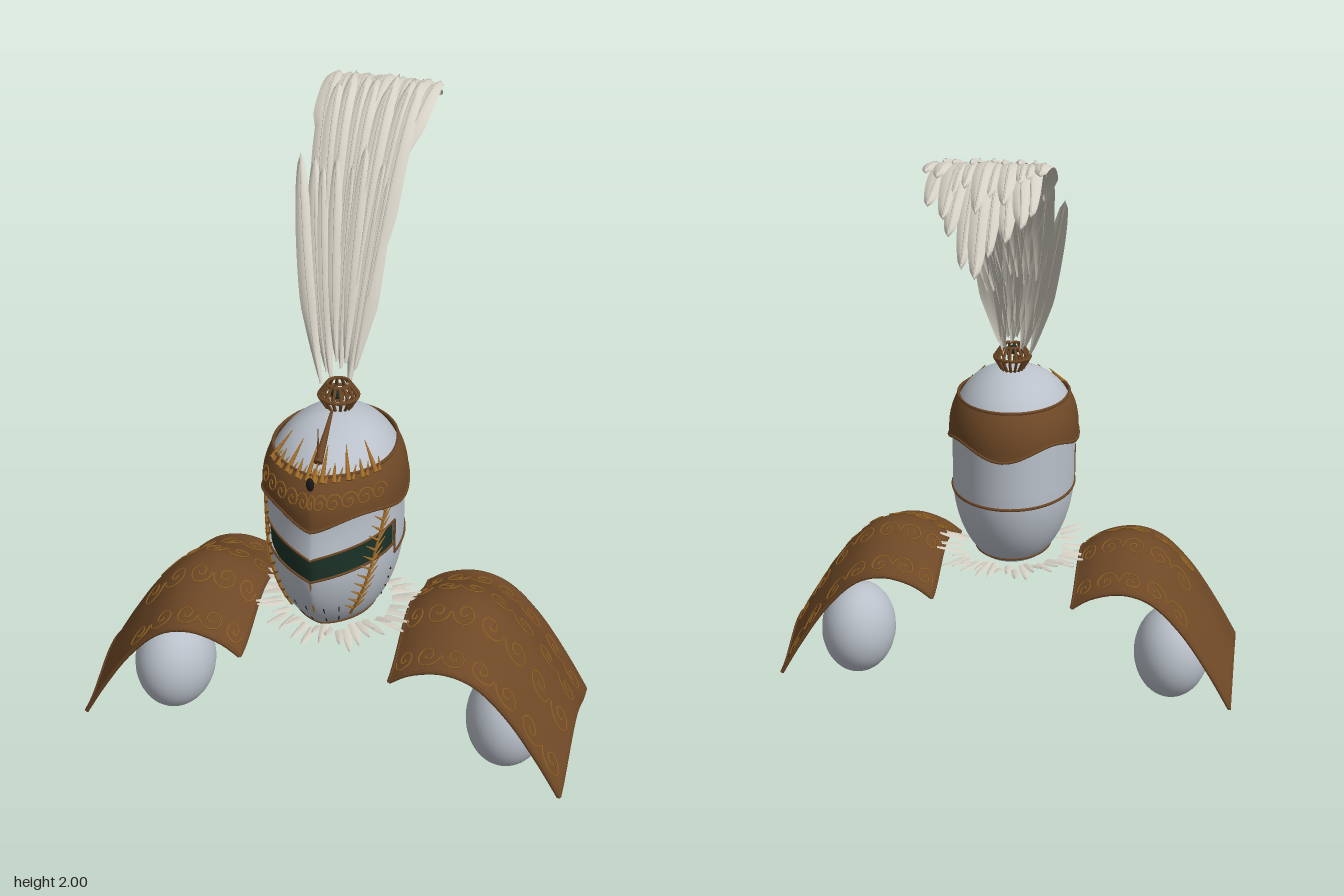
import * as THREE from 'three';
import { mergeGeometries, mergeVertices } from 'three/addons/utils/BufferGeometryUtils.js';

const V = (x, y, z) => new THREE.Vector3(x, y, z);
const { lerp } = THREE.MathUtils;
const colour = (name, color) => {
  const m = new THREE.MeshStandardMaterial({ color, side: THREE.DoubleSide });
  m.name = name;
  return m;
};

// Grid surface from a rule p(u, v), u and v in 0..1
function sheet(p, nu, nv) {
  const pos = [], idx = [];
  for (let j = 0; j <= nv; j++) for (let i = 0; i <= nu; i++) pos.push(...p(i / nu, j / nv).toArray());
  for (let j = 0; j < nv; j++) for (let i = 0; i < nu; i++) {
    const a = j * (nu + 1) + i, c = a + nu + 1;
    idx.push(a, a + 1, c + 1, a, c + 1, c);
  }
  let g = new THREE.BufferGeometry();
  g.setAttribute('position', new THREE.Float32BufferAttribute(pos, 3));
  g.setIndex(idx);
  g = mergeVertices(g, 1e-5);
  g.computeVertexNormals();
  return g;
}

function tube(pts, r, closed = false, sides = 5) {
  return new THREE.TubeGeometry(new THREE.CatmullRomCurve3(pts, closed), pts.length * 2, r, sides, closed);
}

// Tapered bar from a to b
function bar(a, b, r0, r1 = r0) {
  const d = b.clone().sub(a);
  const g = new THREE.CylinderGeometry(r1, r0, d.length(), 6);
  g.applyQuaternion(new THREE.Quaternion().setFromUnitVectors(V(0, 1, 0), d.normalize()));
  const m = a.clone().add(b).multiplyScalar(0.5);
  return g.translate(m.x, m.y, m.z);
}

// Helmet skin: angle from the front (towards +x), height, outward offset
const TAU = Math.PI * 2, SIDE = 1.34;
function helm(th, y, off = 0) {
  let s = 1;
  if (y > 0.98) s = Math.sqrt(Math.max(0, 1 - ((y - 0.98) / 0.21) ** 2));
  if (y < 0.8) s = Math.sqrt(1 - ((0.8 - y) / 0.32) ** 2);
  const c = Math.cos(th), sn = Math.sin(th), front = Math.max(0, c);
  const x = (0.203 * s + off) * Math.sign(sn) * Math.abs(sn) ** (1 + 0.35 * front);
  const reach = c > 0 ? lerp(0.278, 0.26, THREE.MathUtils.smoothstep(y, 0.8, 0.95)) * (y > 0.98 ? s ** 1.5 : s) : 0.255 * s;
  return V(x, y, 0.36 + c * (reach + off));
}
const patch = (t0, t1, lo, hi, off, nu, nv) =>
  sheet((u, v) => { const t = lerp(t0, t1, u); return helm(t, lerp(lo(t), hi(t), Math.sin(v * Math.PI / 2)), off); }, nu, nv);
const ringPoints = (t0, t1, y, off, n) => Array.from({ length: n + 1 }, (_, i) => {
  const t = lerp(t0, t1, i / n);
  return helm(t, y(t), off);
});

// Shoulder plate skin for x > 0
const archX = new THREE.SplineCurve([[0.235, 0.535], [0.3, 0.578], [0.4, 0.6], [0.5, 0.568], [0.6, 0.468], [0.69, 0.335], [0.765, 0.205]]
  .map(p => new THREE.Vector2(...p)));
function plate(u, v, off = 0) {
  const p = archX.getPoint(THREE.MathUtils.clamp(u, 0, 1));
  const w = Math.abs(2 * v - 1);
  return V(p.x, p.y - 0.045 * (1 - Math.cos(Math.PI * w)) + off, lerp(0.095, 0.622, v));
}

function spiral(place, size, flip) {
  const pts = [];
  for (let i = 0; i <= 16; i++) {
    const a = i / 16 * 9.5, r = size * (1 - i / 18);
    pts.push(place(Math.cos(a) * r * flip, Math.sin(a) * r));
  }
  return tube(pts, 0.0025, false, 3);
}

export function createModel() {
  const root = new THREE.Group();
  root.name = 'plumedHelmet';
  const steel = colour('steel', 0xb9c0c9), bronze = colour('bronze', 0x6e4826), gold = colour('gold', 0xa06c28);
  const dark = colour('visorGreen', 0x1b3127), feather = colour('feather', 0xd5d0c4), black = colour('black', 0x1c1a18);
  const add = (name, geo, mat, parent = root) => {
    const m = new THREE.Mesh(Array.isArray(geo) ? mergeGeometries(geo) : geo, mat);
    m.name = name;
    parent.add(m);
    return m;
  };
  let seed = 11;
  const rnd = () => (seed = (seed * 16807) % 2147483647) / 2147483647;

  // Helmet shell with a sight opening across the front
  const sweep = t => Math.min(1, Math.abs(Math.sin(t)));
  const low = t => 0.768 + 0.04 * sweep(t), high = t => 0.842 + 0.045 * sweep(t);
  const seam = () => 0.77, top = () => 1.19, base = () => 0.53;
  add('lowerVisor', patch(-SIDE, SIDE, base, low, 0, 48, 14), steel);
  add('upperShellFront', patch(-SIDE, SIDE, high, top, 0, 48, 26), steel);
  add('upperShellBack', patch(SIDE, TAU - SIDE, seam, top, 0, 48, 30), steel);
  add('lowerShellBack', patch(SIDE, TAU - SIDE, base, seam, 0, 48, 14), steel);
  add('helmetBottom', sheet((u, v) => helm(u * TAU, 0.53).lerp(V(0, 0.53, 0.36), v), 48, 2), steel);
  add('sightSlit', patch(-SIDE - 0.05, SIDE + 0.05, t => low(t) - 0.015, t => high(t) + 0.015, -0.012, 40, 4), dark);
  add('shellTrim', [
    tube(ringPoints(-SIDE, SIDE, low, 0.001, 28), 0.004),
    tube(ringPoints(-SIDE, SIDE, high, 0.001, 28), 0.004),
    tube(ringPoints(SIDE, TAU - SIDE, seam, 0.001, 30), 0.005),
    tube(ringPoints(0, TAU * 35 / 36, () => 0.55, 0.001, 35), 0.004, true),
    ...[-SIDE, SIDE].map(t => bar(helm(t, 0.77, 0.001), helm(t, 0.885, 0.001), 0.004)),
  ], bronze);
  add('visorRidge', bar(helm(0, 0.64, 0.002), helm(0, 0.768, 0.002), 0.003), gold);

  // Breathing slots and rivets
  const marks = [];
  for (const s of [-1, 1]) {
    for (const t of [0.25, 0.5]) marks.push(bar(helm(s * t, 0.57, 0.001), helm(s * t, 0.65, 0.001), 0.002));
    for (let i = 0; i < 4; i++) {
      const p = helm(s * 1.3, 0.61 + i * 0.035);
      marks.push(new THREE.SphereGeometry(0.004, 6, 4).translate(p.x, p.y, p.z));
    }
  }
  add('slotsAndRivets', marks, black);

  // Brow band with wavy lower edge
  const wave = t => 0.96 - 0.02 * Math.cos(4 * t), brow = () => 1.093;
  add('browBand', patch(0, TAU, wave, brow, 0.011, 80, 8), bronze);
  add('browBandRims', [wave, brow].map(f => tube(ringPoints(0, TAU * 47 / 48, f, 0.011, 47), 0.005, true)), bronze);

  // Scrolls and leaf crest on the brow
  const crest = [];
  for (let i = -5; i <= 5; i++) {
    const t = i * 0.2, h = 0.035 + 0.03 * ((i + 6) % 2);
    crest.push(spiral((a, b) => helm(t + a * 4.5, 1.03 + b, 0.014), 0.027, i < 0 ? -1 : 1));
    crest.push(bar(helm(t, 1.08, 0.014), helm(t, 1.085 + h, 0.014), 0.009, 0.001));
    crest.push(bar(helm(t + 0.06, 1.08, 0.014), helm(t + 0.13, 1.11, 0.012), 0.006, 0.001));
  }
  add('browCrest', crest, gold);
  add('crestSpike', bar(V(0, 1.09, 0.535), V(0, 1.23, 0.535), 0.006, 0.001), bronze);
  add('crestRod', bar(V(0, 1.12, 0.54), V(0, 1.21, 0.39), 0.014, 0.004), bronze);
  add('browGem', new THREE.SphereGeometry(1, 12, 10).scale(0.012, 0.022, 0.008).translate(0, 1.095, 0.62), black);

  // Leafy vines down both sides of the face
  const vines = [];
  for (const s of [-1, 1]) {
    const at = k => [s * lerp(0.68, 1.15, k), lerp(0.6, 0.98, k)];
    vines.push(tube(Array.from({ length: 16 }, (_, i) => helm(...at(i / 15), 0.005)), 0.004));
    for (let i = 1; i < 13; i++) for (const d of [-1, 1]) {
      const [t, y] = at(i / 13);
      vines.push(bar(helm(t, y, 0.005), helm(t + d * 0.14, y + 0.03, 0.007), 0.005, 0.001));
    }
  }
  add('faceVines', vines, gold);

  // Plume socket: a cage of bent bars
  const cage = [];
  const ringAt = (a, r, y) => V(Math.sin(a) * r, y, 0.32 + Math.cos(a) * r);
  for (let i = 0; i < 16; i++) {
    const a = i / 16 * TAU;
    cage.push(bar(ringAt(a, 0.03, 1.175), ringAt(a, 0.059, 1.225), 0.005));
    cage.push(bar(ringAt(a, 0.059, 1.225), ringAt(a, 0.034, 1.262), 0.005));
  }
  for (const [r, y] of [[0.03, 1.178], [0.059, 1.225], [0.034, 1.262]])
    cage.push(new THREE.TorusGeometry(r, 0.005, 6, 20).rotateX(Math.PI / 2).translate(0, y, 0.32));
  add('plumeSocket', cage, bronze);
  add('socketGem', new THREE.SphereGeometry(0.016, 10, 8).translate(0, 1.24, 0.345), dark);

  // Plume: overlapping feathers laid along one arched path
  const path = new THREE.CatmullRomCurve3([[1.24, 0.295], [1.53, 0.165], [1.82, -0.02], [1.945, -0.155], [1.985, -0.29], [1.91, -0.445], [1.72, -0.615]]
    .map(([y, z]) => V(0, y, z)));
  const plumes = [], quills = [];
  function plume(t0, t1, x0, x1, w, off) {
    const at = (u, v) => {
      const t = lerp(t0, t1, v), p = path.getPointAt(t), d = path.getTangentAt(t);
      const leaf = w * Math.min(1, 0.12 + 2.6 * v) * Math.sqrt(Math.max(0, 1 - v ** 3.2));
      const lift = off * (0.4 + 0.6 * t) - 0.010 * u * u;
      return V(lerp(x0, x1, v ** 0.85) + u * leaf, p.y - d.z * lift, p.z + d.y * lift);
    };
    plumes.push(sheet((u, v) => at(2 * u - 1, v), 6, 22));
    quills.push(tube(Array.from({ length: 9 }, (_, i) => at(0, i / 8.2)), 0.0025, false, 4));
  }
  const rows = [
    // count, start, end, start x range, end x range
    [8, 0.0, 0.50, -0.06, 0.035, -0.2, 0.075],
    [9, 0.18, 0.72, -0.1, 0.055, -0.19, 0.11],
    [10, 0.42, 0.87, -0.15, 0.09, -0.19, 0.14],
    [9, 0.55, 1.0, -0.12, 0.08, -0.17, 0.12],
  ];
  rows.forEach(([n, t0, t1, a0, a1, b0, b1], r) => {
    for (let i = 0; i < n; i++) {
      const k = i / (n - 1), edge = Math.abs(2 * k - 1);
      plume(t0 + rnd() * 0.06, t1 - 0.13 * edge * (r > 1 ? 1 : 0) - rnd() * 0.07,
        lerp(a0, a1, k), lerp(b0, b1, k) + (rnd() - 0.5) * 0.03, 0.03 + rnd() * 0.008, 0.018 - r * 0.009 + (rnd() - 0.5) * 0.014);
    }
  });
  add('plumeFeathers', plumes, feather);
  add('plumeQuills', quills, feather);

  // Ruff of small feathers around the neck
  const ruff = [];
  for (let i = 0; i < 52; i++) {
    const a = i / 52 * TAU + rnd() * 0.08, len = 0.06 + rnd() * 0.035, y = 0.515 + rnd() * 0.035, rise = (rnd() - 0.4) * 0.04;
    const dir = V(Math.sin(a), 0, Math.cos(a)), side = V(dir.z, 0, -dir.x);
    ruff.push(sheet((u, v) => V(dir.x * 0.175, y + rise * v, 0.36 + dir.z * 0.165)
      .addScaledVector(dir, v * len).addScaledVector(side, (u - 0.5) * 0.026 * Math.sqrt(1.02 - v * v))
      .add(V(0, -0.012 * Math.abs(u - 0.5), 0)), 2, 4));
  }
  add('neckRuff', ruff, feather);

  // Shoulder plates and arm knobs
  for (const s of [1, -1]) {
    const g = new THREE.Group();
    g.name = s > 0 ? 'leftShoulder' : 'rightShoulder';
    root.add(g);
    const side = (u, v, off) => { const p = plate(u, v, off); p.x *= s; return p; };
    add('plateOuter', sheet((u, v) => side(u, v, 0), 28, 24), bronze, g);
    add('plateInner', sheet((u, v) => side(u, v, -0.01), 28, 24), bronze, g);
    const line = f => tube(Array.from({ length: 17 }, (_, i) => f(i / 16)), 0.007);
    add('plateRim', [0, 1].flatMap(e => [line(k => side(k, e, -0.005)), line(k => side(e, k, -0.005))]), bronze, g);
    const scrolls = [];
    const count = s > 0 ? 7 : 5;
    for (let r = 0; r < 4; r++) for (let i = 0; i < count; i++) {
      const cu = 0.1 + i * 0.135, cv = 0.11 + r * 0.26;
      scrolls.push(spiral((a, b) => side(cu + a * 1.6, cv + b * 1.9, 0.003), 0.04, i % 2 ? 1 : -1));
    }
    add('plateScrolls', scrolls, gold, g);
    add('armKnob', new THREE.SphereGeometry(1, 32, 24).scale(0.13, 0.165, 0.152).translate(s * 0.555, 0.168, 0.36), steel, g);
  }
  return root;
}
